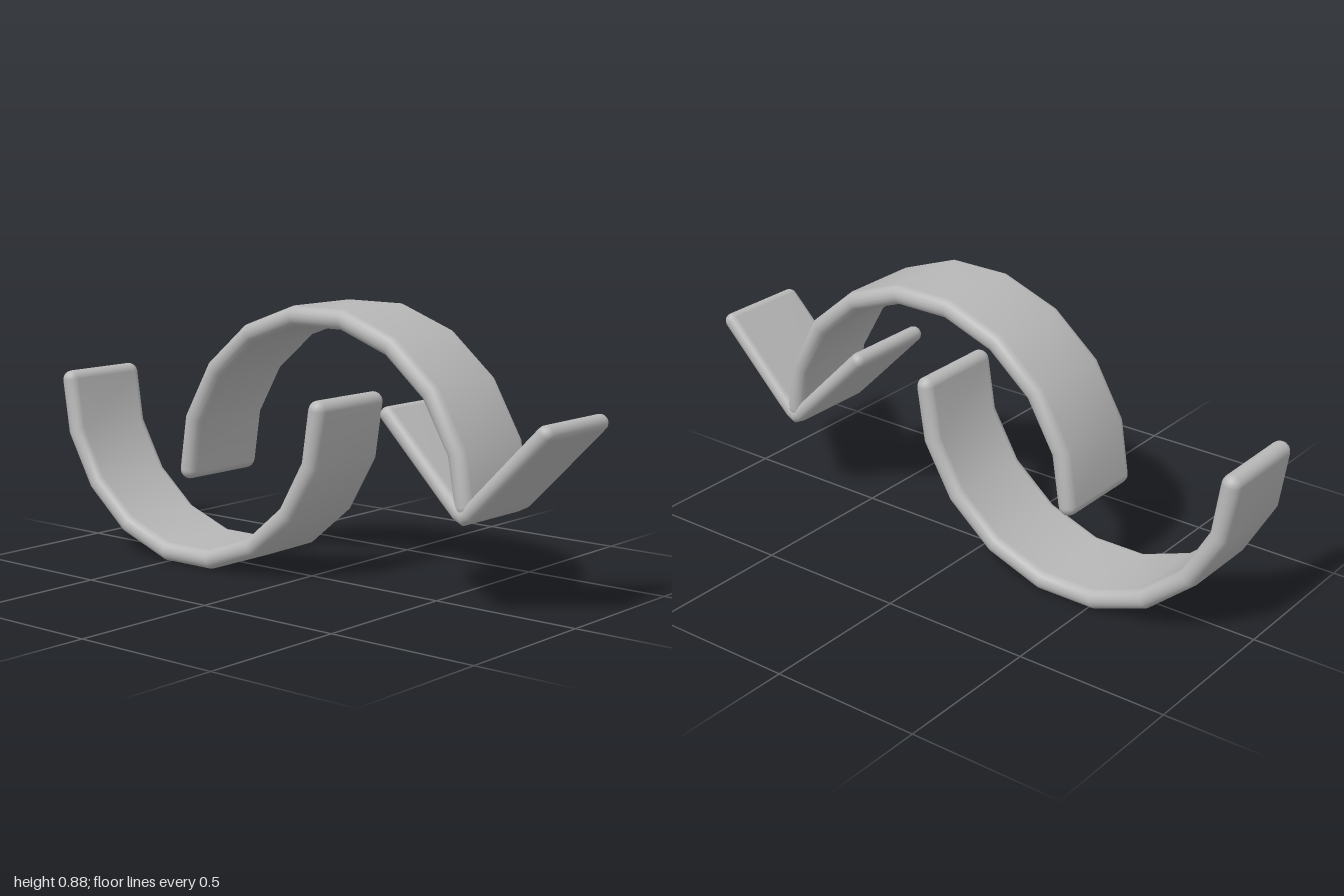
import * as THREE from 'three';
import { mergeVertices } from 'three/addons/utils/BufferGeometryUtils.js';

const HALF_DEPTH = 0.165;

// Sweeps a flat, fully rounded band along a path in the xy plane, with rounded ends
function bandGeometry(path, r) {
  const pts = path.map(([x, y]) => new THREE.Vector2(x, y));
  const last = pts.length - 1;
  const dir = i => pts[i + 1].clone().sub(pts[i]).normalize();
  const rings = [];
  const CAP = 5;
  pts.forEach((p, i) => {
    const a = dir(Math.max(i - 1, 0)), b = dir(Math.min(i, last - 1));
    const t = a.clone().add(b).normalize();
    const mitre = 1 / t.dot(b);
    const ring = (angle, sign) => rings.push({
      p: p.clone().addScaledVector(t, sign * r * Math.sin(angle)),
      t, mitre, r: r * Math.cos(angle)
    });
    if (i === 0) for (let k = CAP; k > 0; k--) ring(k / CAP * Math.PI / 2, -1);
    ring(0, 1);
    if (i === last) for (let k = 1; k <= CAP; k++) ring(k / CAP * Math.PI / 2, 1);
  });

  // Each ring is a stadium: two half circles joined by the flat faces
  const ARC = 8, N = 2 * (ARC + 1);
  const pos = [], idx = [];
  rings.forEach(({ p, t, mitre, r: rr }) => {
    for (let j = 0; j < N; j++) {
      const side = j <= ARC ? 1 : -1;
      const ang = (j <= ARC ? j : j - 1) / ARC * Math.PI;
      const n = Math.cos(ang) * rr * mitre;
      const z = side * (HALF_DEPTH - r) + Math.sin(ang) * rr;
      pos.push(p.x - t.y * n, p.y + t.x * n, z);
    }
  });
  for (let i = 0; i < rings.length - 1; i++) {
    for (let j = 0; j < N; j++) {
      const k = (j + 1) % N;
      const a = i * N + j, b = i * N + k, c = a + N, d = b + N;
      idx.push(a, b, d, a, d, c);
    }
  }
  const g = new THREE.BufferGeometry();
  g.setAttribute('position', new THREE.Float32BufferAttribute(pos, 3));
  g.setIndex(idx);
  const merged = mergeVertices(g, 1e-5);
  merged.computeVertexNormals();
  return merged;
}

// Half ring in 20 degree steps with a flat middle; up = 1 arches, up = -1 hangs
function arcPath(cx, cy, up, startY, endY) {
  const R = 0.562, path = [[cx - 0.555, startY]];
  for (let a = -70; a <= 70; a += 20) {
    const q = THREE.MathUtils.degToRad(a);
    path.push([cx + R * Math.sin(q), cy + up * R * Math.cos(q)]);
  }
  path.push([cx + 0.555, endY]);
  return path;
}

export function createModel() {
  const grey = new THREE.MeshStandardMaterial({ color: 0xb8b8b8 });
  grey.name = 'light grey';
  const group = new THREE.Group();
  group.name = 'curvedArrow';
  const add = (name, path, r) => {
    const mesh = new THREE.Mesh(bandGeometry(path, r), grey);
    mesh.name = name;
    group.add(mesh);
  };

  // Hanging and arching half rings
  add('lowerArc', arcPath(-0.415, 0.59, -1, 0.573, 0.573), 0.031);
  add('upperArc', arcPath(0.145, 0.306, 1, 0.326, 0.345), 0.031);

  // V-shaped head at the end of the arch
  add('arrowHead', [
    [0.42, 0.588], [0.64, 0.368], [0.682, 0.327], [0.7, 0.318],
    [0.718, 0.327], [0.76, 0.368], [0.977, 0.588]
  ], 0.026);
  return group;
}
